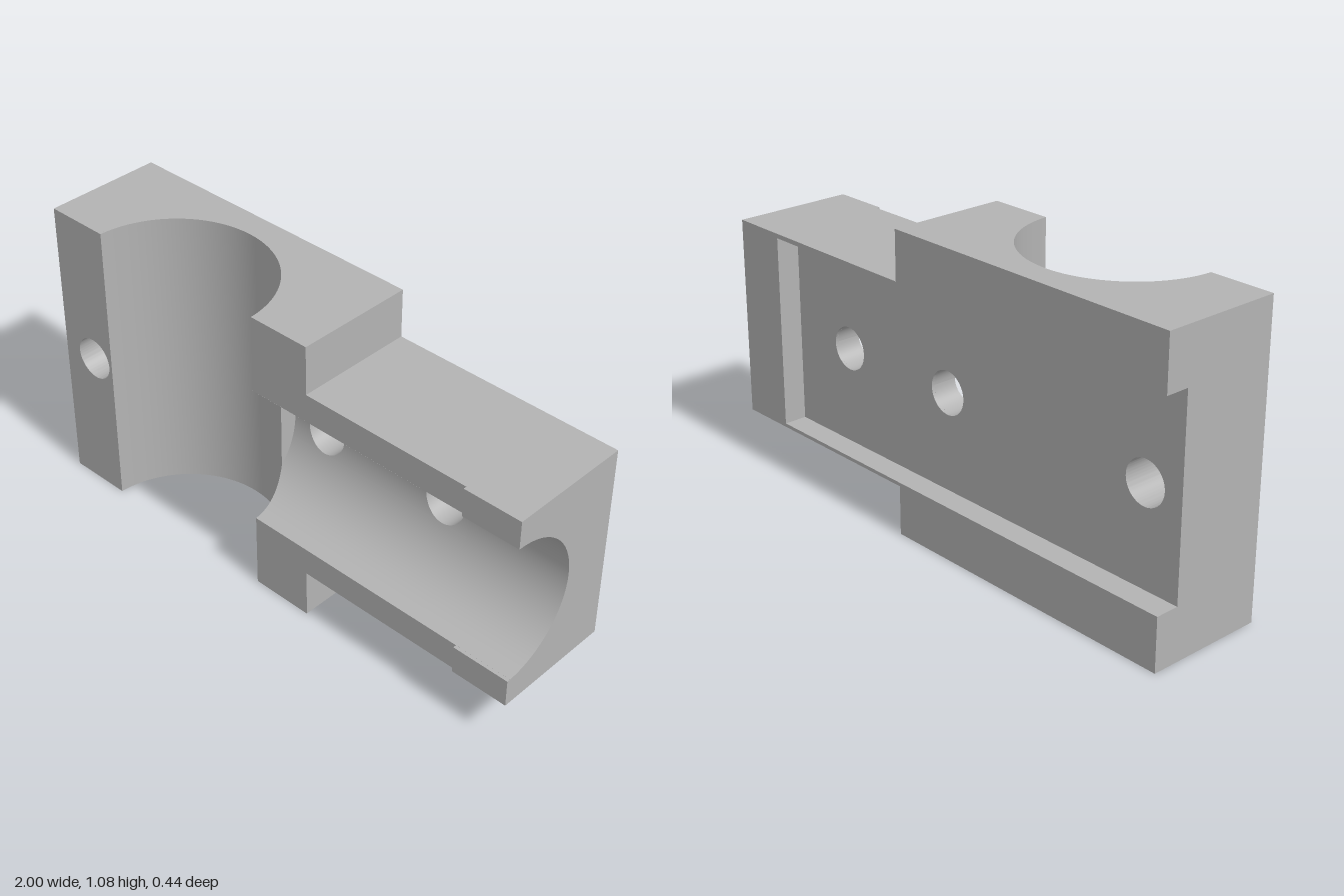
import * as THREE from 'three';
import { toCreasedNormals } from 'three/addons/utils/BufferGeometryUtils.js';

// Main levels and bores
const TOP = 1.075, ARM_LO = 0.178, ARM_HI = 0.9, FRONT = 0.21, PAD = 0.222, BACK = -0.222;
const FLOOR = -0.137, WEB = -0.127, STEP = 0.16, YC = 0.539;
const VX = -0.418, VR = 0.347;            // upright bore
const HR = 0.26, BORE_START = -0.13;      // lengthwise bore
const HOLE_R = 0.077, HOLES = [-0.855, 0.013, 0.52];
const STRIP = -0.772, BORE_END = 0.62;

export function createModel() {
  const group = new THREE.Group();
  const grey = new THREE.MeshStandardMaterial({ color: 0xb3b3b3, side: THREE.DoubleSide });

  const add = (name, geometry) => {
    const mesh = new THREE.Mesh(geometry, grey);
    mesh.name = name;
    group.add(mesh);
  };
  const poly = (pts) => new THREE.Shape(pts.map(([a, b]) => new THREE.Vector2(a, b)));
  const extrude = (shape, depth) => new THREE.ExtrudeGeometry(shape, { depth, bevelEnabled: false, curveSegments: 48 });
  const punch = (shape, xs) => {
    xs.forEach((x) => shape.holes.push(new THREE.Path().absarc(x, YC, HOLE_R, 0, Math.PI * 2, true)));
    return shape;
  };
  // Extrusions along z, y (points are x,z) and x (points are z,y)
  const alongZ = (name, shape, z0, z1) =>
    add(name, toCreasedNormals(extrude(shape, z1 - z0).translate(0, 0, z0), 0.5));
  const alongY = (name, pts, y0, y1) =>
    add(name, toCreasedNormals(extrude(poly(pts.map(([x, z]) => [x, -z])), y1 - y0)
      .rotateX(-Math.PI / 2).translate(0, y0, 0), 0.5));
  const alongX = (name, pts, x0, x1) =>
    add(name, toCreasedNormals(extrude(poly(pts.map(([z, y]) => [-z, y])), x1 - x0)
      .rotateY(Math.PI / 2).translate(x0, 0, 0), 0.5));
  const box = (name, x0, x1, y0, y1, z0, z1) =>
    add(name, new THREE.BoxGeometry(x1 - x0, y1 - y0, z1 - z0)
      .translate((x0 + x1) / 2, (y0 + y1) / 2, (z0 + z1) / 2));
  // Surface of straight lines between two curves
  const ruled = (name, a, b, n) => {
    const pos = [], idx = [];
    for (let i = 0; i <= n; i++) pos.push(...a(i / n), ...b(i / n));
    for (let i = 0; i < n; i++) {
      const k = i * 2;
      idx.push(k, k + 1, k + 2, k + 1, k + 3, k + 2);
    }
    const g = new THREE.BufferGeometry();
    g.setAttribute('position', new THREE.Float32BufferAttribute(pos, 3));
    g.setIndex(idx);
    g.computeVertexNormals();
    add(name, g);
  };
  const arc = (a0, a1, n, f) => Array.from({ length: n + 1 }, (_, i) => f(a0 + (a1 - a0) * i / n));

  // Back rails around the pocket that is open at one end
  const P0 = 0.191, P1 = 0.884, PX = 0.795;
  alongZ('backRails', poly([[-1, 0], [STEP, 0], [STEP, ARM_LO], [1, ARM_LO], [1, ARM_HI], [STEP, ARM_HI],
    [STEP, TOP], [-1, TOP], [-1, P1], [PX, P1], [PX, P0], [-1, P0]]), BACK, FLOOR);

  // Pocket floor with the three bolt holes
  alongZ('pocketFloor', punch(poly([[-1, 0], [STEP, 0], [STEP, ARM_LO], [1, ARM_LO], [1, ARM_HI],
    [STEP, ARM_HI], [STEP, TOP], [-1, TOP]]), HOLES), FLOOR, WEB);

  // Outer wall of the upright bore, with its bolt hole
  alongZ('outerWall', punch(poly([[-1, 0], [STRIP, 0], [STRIP, TOP], [-1, TOP]]), [HOLES[0]]), WEB, FRONT);

  // Upright bore
  const vPoint = (a) => [VX + VR * Math.cos(a), PAD - VR * Math.sin(a)];
  const aFront = Math.asin((PAD - FRONT) / VR), aStart = Math.acos((BORE_START - VX) / VR);
  alongY('uprightBore', [[STRIP, WEB], [BORE_START, WEB],
    ...arc(aStart, Math.PI - aFront, 64, vPoint), [STRIP, FRONT]], 0, TOP);

  // Shoulders above and below the lengthwise bore
  const shoulder = [[BORE_START, WEB], [STEP, WEB], [STEP, FRONT], ...arc(aFront, aStart, 16, vPoint)];
  alongY('lowerShoulder', shoulder, 0, YC - HR);
  alongY('upperShoulder', shoulder, YC + HR, TOP);

  // Arm lips and the raised pads at their end
  for (const [side, y0, y1] of [['lower', ARM_LO, YC - HR], ['upper', YC + HR, ARM_HI]]) {
    box(side + 'ArmLip', STEP, BORE_END, y0, y1, WEB, FRONT);
    box(side + 'EndPad', 0.79, 1, y0, y1, FRONT, PAD);
  }

  // End of the arm, a plain half-round channel
  const aLip = Math.PI / 2 - Math.asin((PAD - FRONT) / HR);
  alongX('armEnd', [[WEB, ARM_LO], [FRONT, ARM_LO],
    ...arc(-aLip, aLip, 64, (a) => [PAD - HR * Math.cos(a), YC + HR * Math.sin(a)]),
    [FRONT, ARM_HI], [WEB, ARM_HI]], BORE_END, 1);

  // Lengthwise bore, trimmed by the upright bore and pierced by two holes
  const onBore = (x, dy) => [x, YC + dy, PAD - Math.sqrt(Math.max(0, HR * HR - dy * dy))];
  const leftX = (dy) => {
    const d2 = HR * HR - dy * dy;
    return Math.max(BORE_START, VX + Math.sqrt(Math.max(0, VR * VR - d2)));
  };
  const aHole = Math.asin(HOLE_R / HR);
  for (const s of [-1, 1]) {
    const dy = (t) => s * HR * Math.sin(aHole + (aLip - aHole) * t);
    const left = (t) => onBore(leftX(dy(t)), dy(t)), right = (t) => onBore(BORE_END, dy(t));
    if (s > 0) ruled('upperBoreWall', left, right, 40);
    else ruled('lowerBoreWall', right, left, 40);
  }
  const band = (t) => HOLE_R * Math.sin((t - 0.5) * Math.PI);
  const rim = (x, s) => (t) => onBore(x + s * HOLE_R * Math.cos((t - 0.5) * Math.PI), band(t));
  const edge = (x) => (t) => onBore(x, band(t));
  ruled('boreFloor', edge(BORE_START), rim(HOLES[1], -1), 24);
  ruled('boreFloor', rim(HOLES[1], 1), rim(HOLES[2], -1), 24);
  ruled('boreFloor', rim(HOLES[2], 1), edge(BORE_END), 24);

  // Walls of the two holes in the bore
  for (const x of HOLES.slice(1)) {
    const hx = (t) => x + HOLE_R * Math.cos(t * 2 * Math.PI), hy = (t) => HOLE_R * Math.sin(t * 2 * Math.PI);
    ruled('boltHole', (t) => onBore(hx(t), hy(t)), (t) => [hx(t), YC + hy(t), WEB], 48);
  }

  // Slivers of the upright bore left where the two bores meet
  for (const s of [-1, 1]) {
    const at = (t) => vPoint(aFront + (aStart - aFront) * t);
    const outer = (t) => [at(t)[0], YC + s * HR, at(t)[1]];
    const inner = (t) => {
      const [x, z] = at(t);
      return [x, YC + s * Math.sqrt(HR * HR - (PAD - z) ** 2), z];
    };
    if (s > 0) ruled('boreCorner', inner, outer, 20);
    else ruled('boreCorner', outer, inner, 20);
  }
  return group;
}
